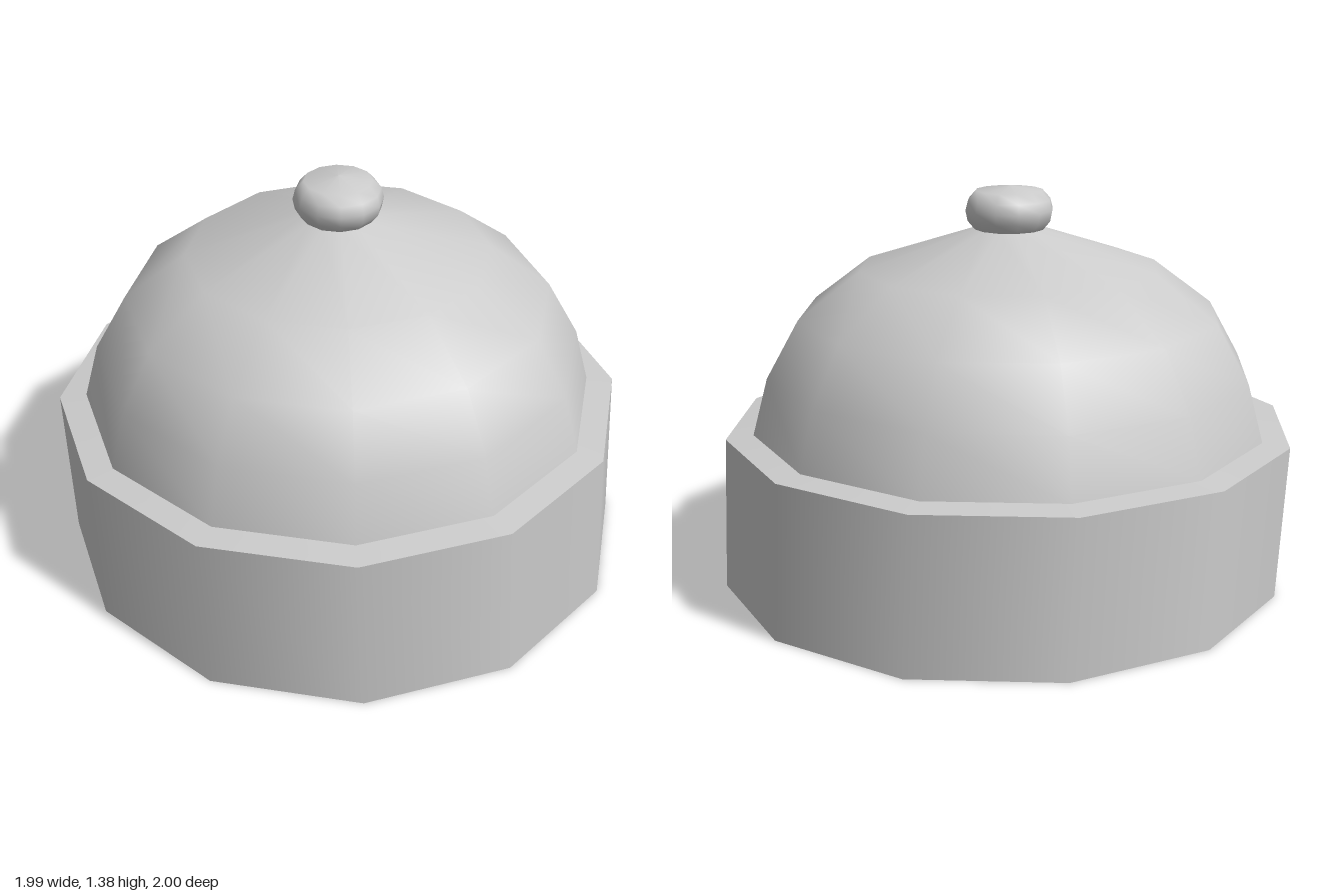
import * as THREE from 'three';

const SIDES = 12;
const material = new THREE.MeshStandardMaterial({ color: 0xcccccc, side: THREE.DoubleSide });

// Revolve a [radius, height] profile, listed from the bottom up
function turned(name, profile) {
  const points = profile.map(([r, y]) => new THREE.Vector2(r, y));
  const mesh = new THREE.Mesh(new THREE.LatheGeometry(points, SIDES), material);
  mesh.name = name;
  return mesh;
}

export function createModel() {
  const model = new THREE.Group();
  model.name = 'domedCap';

  // Thin open band, leaning slightly: its lower rim is offset from the upper one
  const band = turned('band', [[0.987, 0], [0.987, 0.543]]);
  const pos = band.geometry.attributes.position;
  for (let i = 0; i < pos.count; i++) {
    if (pos.getY(i) < 0.01) {
      pos.setX(i, pos.getX(i) + 0.02);
      pos.setZ(i, pos.getZ(i) + 0.027);
    }
  }

  // Narrow ledge joining the band to the dome
  const ledge = turned('ledge', [[0.987, 0.543], [0.893, 0.553]]);

  // Hollow dome
  const dome = turned('dome', [
    [0.893, 0.553], [0.84, 0.75], [0.73, 0.945], [0.518, 1.105], [0.12, 1.235],
  ]);

  // Button on the crown
  const button = turned('button', [
    [0.12, 1.235], [0.145, 1.265], [0.152, 1.3], [0.143, 1.335], [0.115, 1.366], [0, 1.382],
  ]);

  const upper = new THREE.Group();
  upper.name = 'cap';
  upper.position.set(-0.013, 0, -0.014);
  upper.add(band, ledge, dome, button);
  model.add(upper);
  return model;
}
